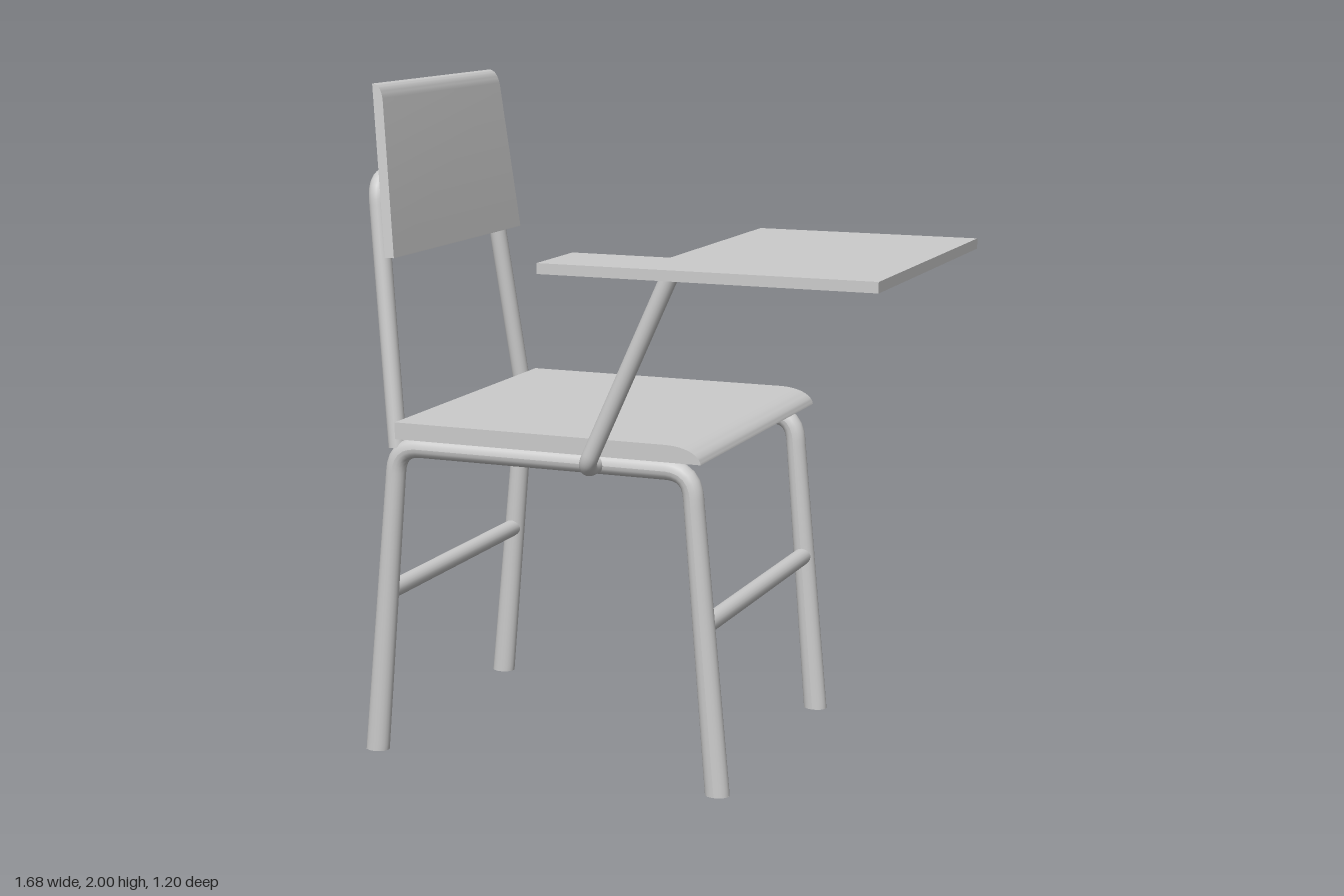
import * as THREE from 'three';
import { toCreasedNormals } from 'three/addons/utils/BufferGeometryUtils.js';

const MID_Z = -0.11; // middle of the chair, between the two side frames
const TUBE_R = 0.03;
const V = (x, y, z) => new THREE.Vector3(x, y, z);

// Polyline with rounded corners
function bentPath(points, bend) {
  const path = new THREE.CurvePath();
  let from = points[0];
  for (let i = 1; i < points.length - 1; i++) {
    const p = points[i];
    const a = p.clone().add(points[i - 1].clone().sub(p).setLength(bend));
    const b = p.clone().add(points[i + 1].clone().sub(p).setLength(bend));
    path.add(new THREE.LineCurve3(from, a));
    path.add(new THREE.QuadraticBezierCurve3(a, p, b));
    from = b;
  }
  path.add(new THREE.LineCurve3(from, points[points.length - 1]));
  return path;
}

function tube(points, bend, radius, segments = 90) {
  return new THREE.TubeGeometry(bentPath(points, bend), segments, radius, 20);
}

export function createModel() {
  const model = new THREE.Group();
  model.name = 'tabletArmChair';
  const material = new THREE.MeshStandardMaterial({ color: 0xcccccc, side: THREE.DoubleSide });
  const add = (name, geometry) => {
    const mesh = new THREE.Mesh(geometry, material);
    mesh.name = name;
    model.add(mesh);
    return mesh;
  };

  // Leg centre lines run from the foot to the corner under the seat
  const RAIL_Y = 0.945;
  const legs = [
    { name: 'back', foot: -0.805, top: -0.715 },
    { name: 'front', foot: 0.297, top: 0.215 },
  ];
  const legX = (leg, y) => THREE.MathUtils.lerp(leg.foot, leg.top, y / RAIL_Y);

  // Side frames: both legs and the seat rail in one bent tube, widening to flat feet
  for (const [side, z] of [['left', 0.33], ['right', -0.55]]) {
    const g = tube([V(legs[0].foot, 0, z), V(legs[0].top, RAIL_Y, z),
      V(legs[1].top, RAIL_Y, z), V(legs[1].foot, 0, z)], 0.075, TUBE_R, 140);
    const pos = g.attributes.position;
    for (let i = 0; i < pos.count; i++) {
      const y = pos.getY(i) < 0.01 ? 0 : pos.getY(i);
      if (y > 0.85) continue;
      const centre = legX(legs[pos.getX(i) < -0.3 ? 0 : 1], y);
      const widen = 1 + 0.22 * (1 - y / 0.85);
      pos.setXYZ(i, centre + (pos.getX(i) - centre) * widen, y, pos.getZ(i));
    }
    g.computeVertexNormals();
    add(side + 'SideFrame', g);
    for (const leg of legs) {
      const foot = add(side + leg.name + 'FootCap', new THREE.CircleGeometry(TUBE_R, 20).rotateX(Math.PI / 2));
      foot.scale.x = 1.22;
      foot.position.set(leg.foot, 0, z);
    }
  }

  // Stretchers joining the legs across the chair
  for (const leg of legs) {
    const bar = add(leg.name + 'Stretcher', new THREE.CylinderGeometry(0.027, 0.027, 0.86, 20).rotateX(Math.PI / 2));
    bar.position.set(legX(leg, 0.497), 0.497, MID_Z);
  }

  // Back hoop: two leaning posts joined by a top bar behind the backrest
  add('backHoop', tube([
    V(-0.717, 0.94, MID_Z + 0.437), V(-0.807, 1.725, MID_Z + 0.365),
    V(-0.807, 1.725, MID_Z - 0.365), V(-0.717, 0.94, MID_Z - 0.437)], 0.07, 0.027, 140));

  // Seat with a rounded front edge
  const seat = new THREE.Shape();
  seat.moveTo(-0.7, 0.975);
  seat.lineTo(0.26, 0.975);
  seat.bezierCurveTo(0.258, 1.0, 0.22, 1.025, 0.15, 1.025);
  seat.lineTo(-0.7, 1.025);
  seat.closePath();
  const seatG = new THREE.ExtrudeGeometry(seat, { depth: 0.975, bevelEnabled: false, curveSegments: 12 });
  add('seat', toCreasedNormals(seatG.translate(0, 0, -0.6), 0.6));

  // Backrest: leaning panel with a rounded top, narrowing upwards
  const back = new THREE.Shape();
  back.moveTo(-0.75, 1.5);
  back.lineTo(-0.72, 1.5);
  back.lineTo(-0.767, 1.95);
  back.bezierCurveTo(-0.772, 1.985, -0.785, 2.0, -0.803, 2.0);
  back.closePath();
  const backG = new THREE.ExtrudeGeometry(back, { depth: 2, bevelEnabled: false, curveSegments: 12 });
  backG.translate(0, 0, -1);
  const bp = backG.attributes.position;
  for (let i = 0; i < bp.count; i++) {
    const half = THREE.MathUtils.mapLinear(bp.getY(i), 1.5, 2, 0.43, 0.385);
    bp.setZ(i, MID_Z + bp.getZ(i) * half);
  }
  add('backrest', toCreasedNormals(backG, 0.6));

  // Support arm: out from the left seat rail, then up to the tablet
  add('tabletSupport', tube([
    V(-0.07, RAIL_Y, 0.33), V(-0.07, RAIL_Y, 0.43), V(0.2, 1.53, 0.435)], 0.05, 0.025));

  // L-shaped writing tablet
  const top = new THREE.Shape();
  top.moveTo(-0.135, 0.595);
  top.lineTo(-0.135, 0.355);
  top.lineTo(0.15, 0.355);
  top.quadraticCurveTo(0.16, 0.355, 0.16, 0.345);
  top.lineTo(0.16, -0.38);
  top.lineTo(0.835, -0.38);
  top.lineTo(0.835, 0.595);
  top.closePath();
  const topG = new THREE.ExtrudeGeometry(top, { depth: 0.03, bevelEnabled: false, curveSegments: 6 });
  add('writingTablet', topG.rotateX(Math.PI / 2).translate(0, 1.55, 0));

  return model;
}
